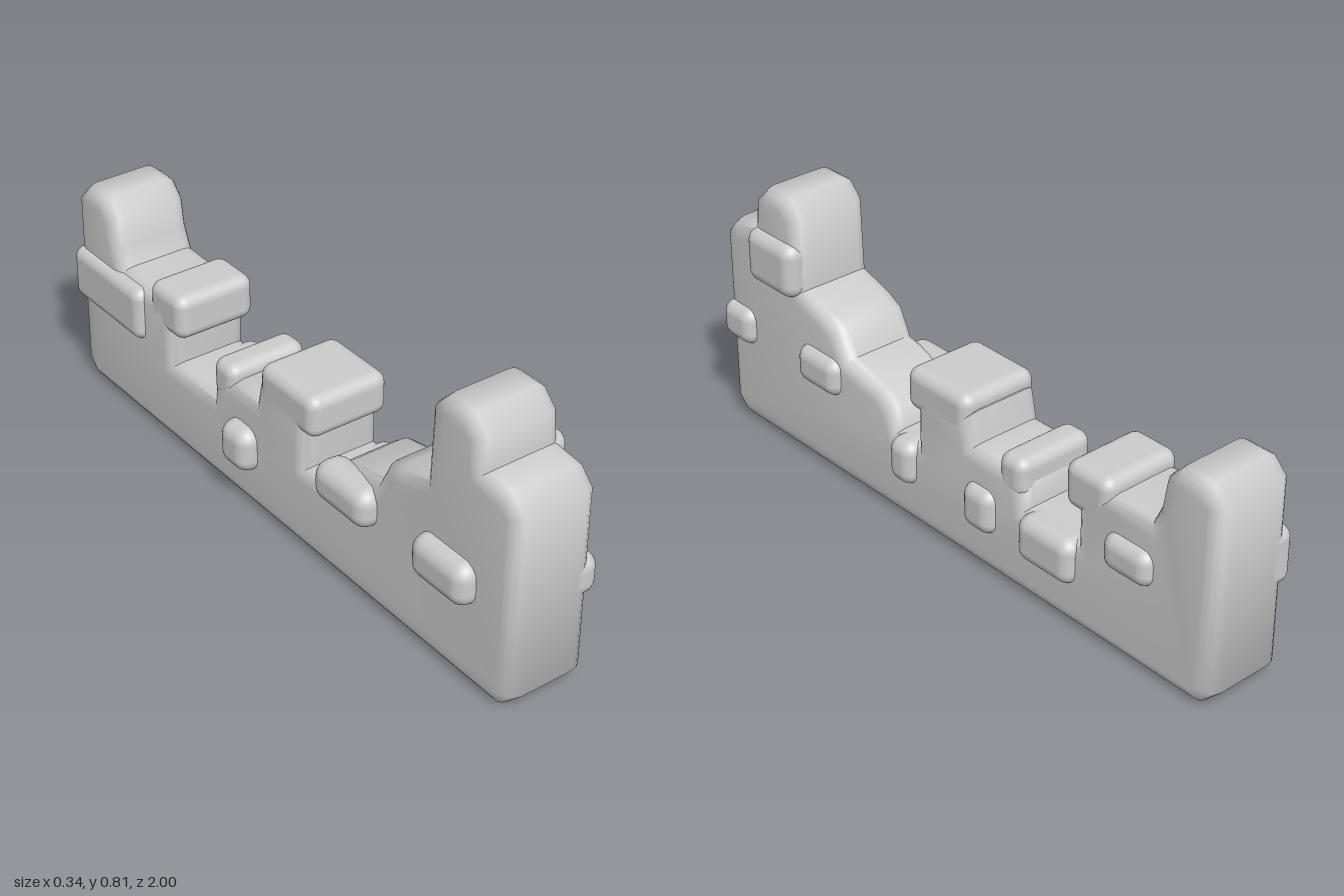
import * as THREE from 'three';
import { toCreasedNormals } from 'three/addons/utils/BufferGeometryUtils.js';
import { RoundedBoxGeometry } from 'three/addons/geometries/RoundedBoxGeometry.js';

const material = new THREE.MeshStandardMaterial({ color: 0xcccccc });
const X0 = -0.12, X1 = 0.14; // faces of the wall

// Rounded stone given by its limits on each axis
function stone(name, [xa, xb], [ya, yb], [za, zb], radius) {
  const geo = new RoundedBoxGeometry(xb - xa, yb - ya, zb - za, 4, radius);
  const mesh = new THREE.Mesh(geo, material);
  mesh.position.set((xa + xb) / 2, (ya + yb) / 2, (za + zb) / 2);
  mesh.name = name;
  return mesh;
}

// Broken wall: side outline as [z, y], extruded across the thickness
function wallBody() {
  const outline = [
    [0.95, 0], [1, 0.05], [1, 0.61], [0.95, 0.66], [0.86, 0.67],
    [0.85, 0.76], [0.8, 0.81], [0.7, 0.81], [0.65, 0.76], [0.64, 0.54],
    [0.54, 0.51], [0.48, 0.48], [0.44, 0.4], [0.29, 0.37], [0.24, 0.33],
    [0.22, 0.27], [0.14, 0.27], [0.14, 0.46], [-0.08, 0.46], [-0.1, 0.37],
    [-0.25, 0.37], [-0.3, 0.34], [-0.31, 0.27], [-0.5, 0.27], [-0.5, 0.46],
    [-0.76, 0.465], [-0.785, 0.52], [-0.8, 0.61], [-0.85, 0.66],
    [-0.95, 0.66], [-1, 0.61], [-1, 0.05], [-0.95, 0],
  ];
  const shape = new THREE.Shape(outline.map(([z, y]) => new THREE.Vector2(-z, y)));
  const bevel = 0.045;
  const geo = new THREE.ExtrudeGeometry(shape, {
    depth: X1 - X0 - 2 * bevel, bevelEnabled: true, bevelSize: bevel,
    bevelThickness: bevel, bevelOffset: -bevel, bevelSegments: 4,
  });
  geo.rotateY(Math.PI / 2);
  geo.translate(X0 + bevel, 0, 0);
  const mesh = new THREE.Mesh(toCreasedNormals(geo, 0.9), material);
  mesh.name = 'brokenWall';
  return mesh;
}

export function createModel() {
  const group = new THREE.Group();
  group.name = 'ruinedWall';
  group.add(wallBody());

  // Loose stones lying across the top, [y range], [z range]
  const capStones = [
    [[0.375, 0.505], [-0.075, 0.175]],
    [[0.29, 0.41], [-0.3, -0.2]],
    [[0.365, 0.505], [-0.62, -0.455]],
  ];
  for (const [y, z] of capStones) {
    group.add(stone('capStone', [X0, X1], y, z, 0.035));
  }

  // Stones bulging out of the left face
  const leftStones = [
    [[0.27, 0.39], [0.86, 1]],
    [[0.51, 0.68], [0.65, 0.86]],
    [[0.27, 0.39], [0.46, 0.64]],
    [[0.13, 0.27], [0.13, 0.23]],
    [[0.13, 0.27], [-0.2, -0.08]],
    [[0.13, 0.27], [-0.51, -0.3]],
    [[0.27, 0.38], [-0.79, -0.62]],
  ];
  for (const [y, z] of leftStones) {
    group.add(stone('leftBulgingStone', [0.06, 0.17], y, z, 0.04));
  }

  // Stones bulging out of the right face
  const rightStones = [
    [[0.26, 0.39], [0.64, 0.86]],
    [[0.26, 0.38], [0.23, 0.46]],
    [[0.13, 0.27], [-0.21, -0.08]],
  ];
  for (const [y, z] of rightStones) {
    group.add(stone('rightBulgingStone', [-0.17, -0.06], y, z, 0.045));
  }
  group.add(stone('rightEndStone', [-0.145, -0.04], [0.28, 0.45], [-1, -0.64], 0.035));

  return group;
}
